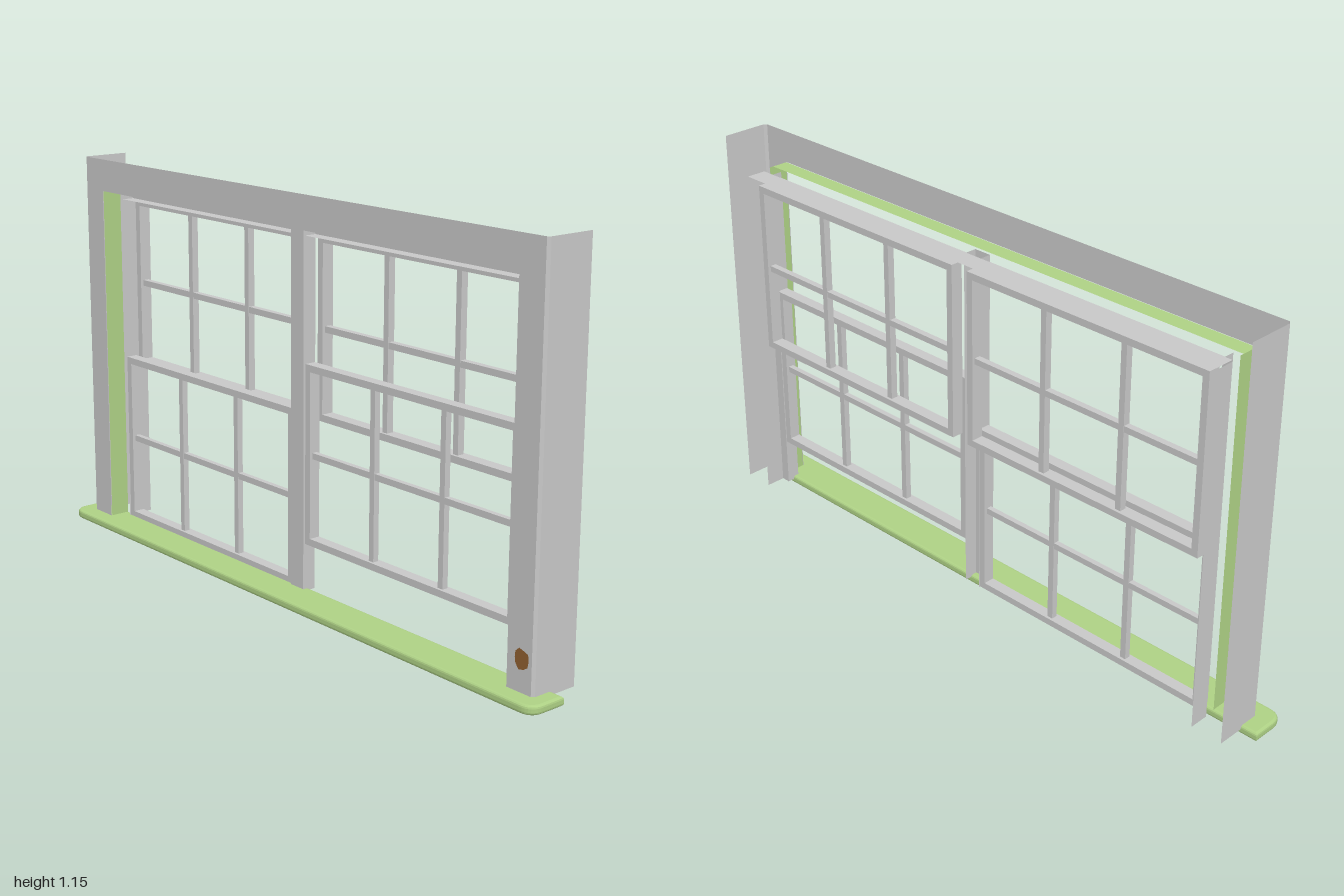
import * as THREE from 'three';

const grey = new THREE.MeshStandardMaterial({ color: 0xc8c8c8, side: THREE.DoubleSide });
grey.name = 'paleGreyPaint';
const green = new THREE.MeshStandardMaterial({ color: 0xaed185, side: THREE.DoubleSide });
green.name = 'softGreenPaint';
const brown = new THREE.MeshStandardMaterial({ color: 0x8f5f30, side: THREE.DoubleSide });
brown.name = 'brownStain';

function add(parent, name, geometry, material) {
  const mesh = new THREE.Mesh(geometry, material);
  mesh.name = name;
  parent.add(mesh);
  return mesh;
}

// Box given by its limits on each axis
function box(parent, name, [x0, x1], [y0, y1], [z0, z1], material = grey) {
  const mesh = add(parent, name, new THREE.BoxGeometry(x1 - x0, y1 - y0, z1 - z0), material);
  mesh.position.set((x0 + x1) / 2, (y0 + y1) / 2, (z0 + z1) / 2);
  return mesh;
}

// Folded sheet: profile of [x or y, z] points swept from a to b along y (upright) or x
function sheet(parent, name, profile, a, b, upright, material = grey) {
  const pos = [];
  const at = ([p, z], t) => (upright ? [p, t, z] : [t, p, z]);
  for (let i = 0; i < profile.length - 1; i++) {
    const [p, q] = [profile[i], profile[i + 1]];
    for (const v of [at(p, a), at(q, a), at(q, b), at(p, a), at(q, b), at(p, b)]) pos.push(...v);
  }
  const g = new THREE.BufferGeometry();
  g.setAttribute('position', new THREE.Float32BufferAttribute(pos, 3));
  g.computeVertexNormals();
  return add(parent, name, g, material);
}

// Glazing frame with stiles, rails, two upright bars and one cross bar
function sash(name, x0, x1, y0, y1, z0, z1) {
  const s = new THREE.Group();
  s.name = name;
  const w = 0.02, z = [z0, z1], barZ = [z0 + 0.008, z1 - 0.008];
  box(s, 'stile', [x0, x0 + w], [y0, y1], z);
  box(s, 'stile', [x1 - w, x1], [y0, y1], z);
  box(s, 'bottomRail', [x0 + w, x1 - w], [y0, y0 + w], z);
  box(s, 'topRail', [x0 + w, x1 - w], [y1 - w, y1], z);
  for (const f of [1 / 3, 2 / 3]) {
    const x = x0 + (x1 - x0) * f;
    box(s, 'uprightBar', [x - 0.009, x + 0.009], [y0 + w, y1 - w], barZ);
  }
  const y = (y0 + y1) / 2;
  box(s, 'crossBar', [x0 + w, x1 - w], [y - 0.009, y + 0.009], [barZ[0] + 0.001, barZ[1] - 0.001]);
  return s;
}

export function createModel() {
  const model = new THREE.Group();
  model.name = 'doubleSashWindow';
  const L = -0.858, R = 0.869, top = 1.059;

  // Sill with rounded front corners and a softened edge
  const b = 0.008, r = 0.035, f = -0.097 + b, k = 0.018, e = 1 - b;
  const plan = new THREE.Shape();
  plan.moveTo(-e, k - b);
  plan.lineTo(-e, f + r);
  plan.quadraticCurveTo(-e, f, -e + r, f);
  plan.lineTo(e - r, f);
  plan.quadraticCurveTo(e, f, e, f + r);
  plan.lineTo(e, k - b);
  const sillGeo = new THREE.ExtrudeGeometry(plan, {
    depth: 0.01, bevelSize: b, bevelThickness: b, bevelSegments: 3, curveSegments: 8,
  });
  sillGeo.rotateX(-Math.PI / 2);
  add(model, 'sill', sillGeo, green).position.y = b;

  // Casing: flat front surround, small bevels and deep side returns
  const face = new THREE.Shape();
  const outline = [[-0.943, 0.02], [L, 0.02], [L, top], [R, top], [R, 0.02], [0.951, 0.02], [0.951, 1.155], [-0.943, 1.155]];
  face.setFromPoints(outline.map(([x, y]) => new THREE.Vector2(x, y)));
  add(model, 'casingFront', new THREE.ShapeGeometry(face), grey).position.z = 0.048;
  sheet(model, 'casingReturnRight', [[-0.943, 0.048], [-0.95, 0.04], [-0.95, -0.1]], 0.015, 1.155, true);
  sheet(model, 'casingReturnLeft', [[0.951, 0.048], [0.958, 0.04], [0.958, -0.1]], 0.015, 1.155, true);

  // Green reveal lining the opening
  sheet(model, 'revealRight', [[L, 0.046], [L, -0.015]], 0.02, top, true, green);
  sheet(model, 'revealLeft', [[R, 0.046], [R, -0.015]], 0.02, top, true, green);
  sheet(model, 'revealTop', [[top, 0.046], [top, -0.003]], L, R, false, green);

  // Stepped jambs and header
  sheet(model, 'jambRight', [[L + 0.004, -0.1], [L + 0.004, -0.04], [-0.826, -0.04], [-0.826, 0]], 0.015, 1.05, true);
  sheet(model, 'jambLeft', [[R - 0.004, -0.1], [R - 0.004, -0.04], [0.837, -0.04], [0.837, 0]], 0.015, 1.05, true);
  sheet(model, 'header', [[1.055, -0.1], [1.055, -0.04], [1.03, -0.04]], L + 0.004, R - 0.004, false);
  for (const [x0, x1] of [[-0.826, -0.019], [0.035, 0.837]])
    sheet(model, 'headerStep', [[1.033, -0.04], [1.033, -0.003]], x0, x1, false);

  // Hollow centre mullion
  sheet(model, 'mullion', [[-0.019, -0.04], [-0.019, 0.002], [0.035, 0.002], [0.035, -0.04]], 0.02, 1.05, true);

  // Upper sashes behind, lower sashes in front; one lower sash is raised
  for (const [side, x0, x1, lift] of [['right', -0.825, -0.02, 0], ['left', 0.036, 0.836, 0.137]]) {
    model.add(sash(side + 'UpperSash', x0, x1, 0.512, 1.031, -0.085, -0.048));
    model.add(sash(side + 'LowerSash', x0, x1, 0.023 + lift, 0.542 + lift, -0.038, -0.004));
  }

  // Worn patch on the casing
  const radii = [0.024, 0.027, 0.022, 0.026, 0.025, 0.022, 0.024, 0.028, 0.025, 0.026];
  const patch = new THREE.Shape(radii.map((q, i) => {
    const a = (i / radii.length) * Math.PI * 2;
    return new THREE.Vector2(Math.cos(a) * q, Math.sin(a) * q * 1.1);
  }));
  add(model, 'wornPatch', new THREE.ShapeGeometry(patch), brown).position.set(0.918, 0.115, 0.05);

  return model;
}
